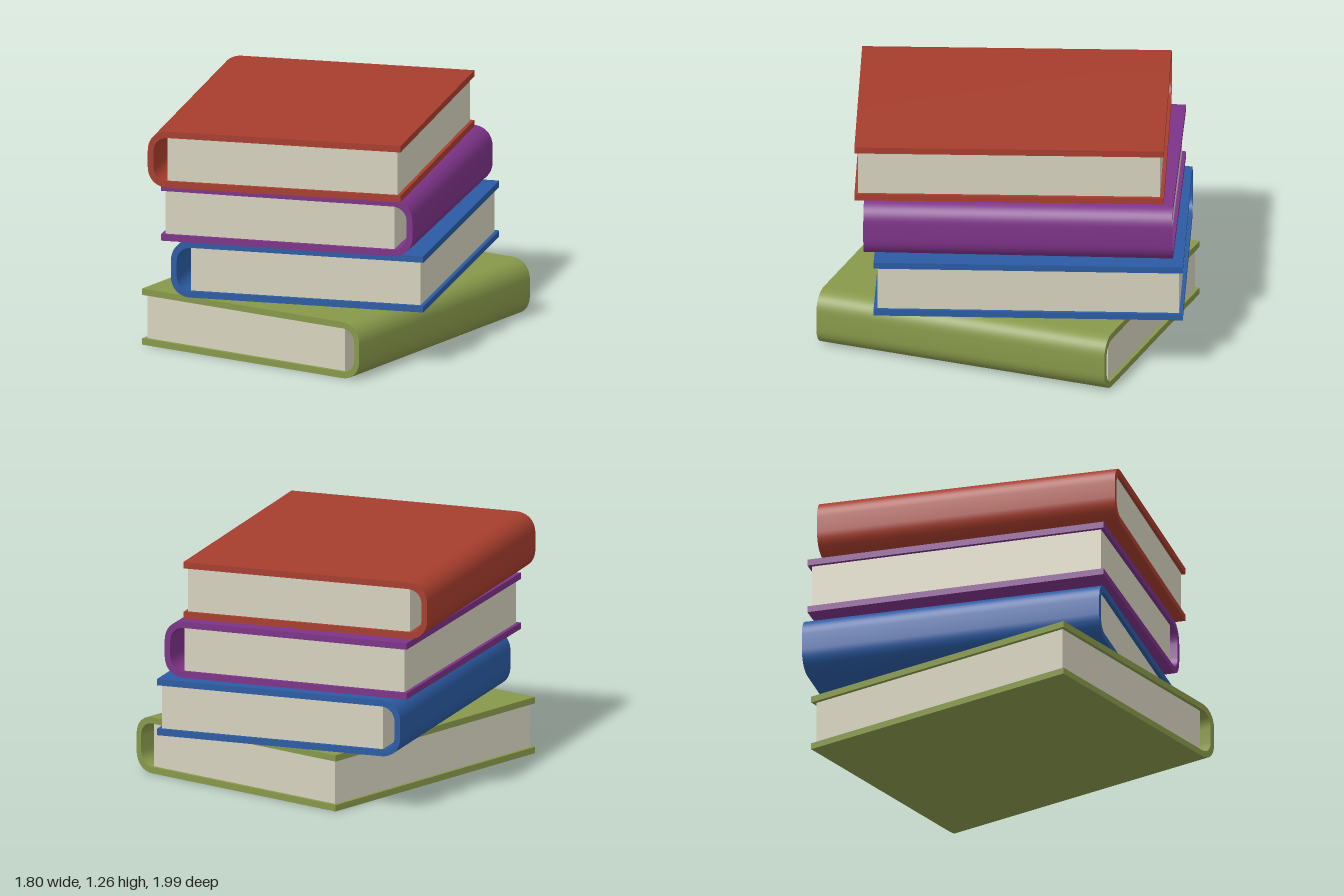
import * as THREE from 'three';
import { toCreasedNormals } from 'three/addons/utils/BufferGeometryUtils.js';

const W = 1.396, H = 0.311, D = 1.66; // closed book: width, thickness, depth
const T = 0.035, INSET = 0.02;        // cover thickness, page inset

// U-shaped cover section with a rounded spine at -x, extruded along z
function coverGeometry() {
  const l = -W / 2, r = W / 2, h = H / 2;
  const ro = 0.11, ri = 0.08, li = l + 0.032, hi = h - T;
  const s = new THREE.Shape();
  s.moveTo(r, -h);
  s.lineTo(r, -hi);
  s.lineTo(li + ri, -hi);
  s.bezierCurveTo(li + 0.03, -hi, li, -hi + 0.035, li, -hi + ri);
  s.lineTo(li, hi - ri);
  s.bezierCurveTo(li, hi - 0.035, li + 0.03, hi, li + ri, hi);
  s.lineTo(r, hi);
  s.lineTo(r, h);
  s.lineTo(l + ro, h);
  s.bezierCurveTo(l + 0.045, h, l, h - 0.045, l, h - ro);
  s.lineTo(l, -h + ro);
  s.bezierCurveTo(l, -h + 0.045, l + 0.045, -h, l + ro, -h);
  const g = new THREE.ExtrudeGeometry(s, { depth: D, bevelEnabled: false, curveSegments: 10 });
  g.translate(0, 0, -D / 2);
  return toCreasedNormals(g, 0.6);
}

// Page block, leaving a hollow behind the spine
function pagesGeometry() {
  const x0 = -W / 2 + 0.105, x1 = W / 2 - INSET;
  const g = new THREE.BoxGeometry(x1 - x0, H - 2 * T, D - 2 * INSET);
  g.translate((x0 + x1) / 2, 0, 0);
  return g;
}

export function createModel() {
  const model = new THREE.Group();
  model.name = 'bookStack';
  const cover = coverGeometry(), pages = pagesGeometry();
  const paper = new THREE.MeshStandardMaterial({ color: 0xd6d2be });

  // bottom to top; spineRight turns the book half way round
  const books = [
    { name: 'greenBook', color: 0x87984a, x: 0.015, z: 0.02, turn: -0.252, spineRight: true },
    { name: 'blueBook', color: 0x2b5ba3, x: -0.035, z: -0.11, turn: 0.084, spineRight: false },
    { name: 'purpleBook', color: 0x7d3388, x: -0.065, z: -0.06, turn: 0.07, spineRight: true },
    { name: 'redBook', color: 0xa63d2d, x: -0.13, z: 0.01, turn: 0.091, spineRight: false },
  ];

  books.forEach((b, i) => {
    const book = new THREE.Group();
    book.name = b.name;
    const c = new THREE.Mesh(cover, new THREE.MeshStandardMaterial({ color: b.color }));
    c.name = 'cover';
    const p = new THREE.Mesh(pages, paper);
    p.name = 'pages';
    book.add(c, p);
    book.position.set(b.x, H / 2 + i * 0.316, b.z);
    book.rotation.y = b.turn + (b.spineRight ? Math.PI : 0);
    model.add(book);
  });
  return model;
}
